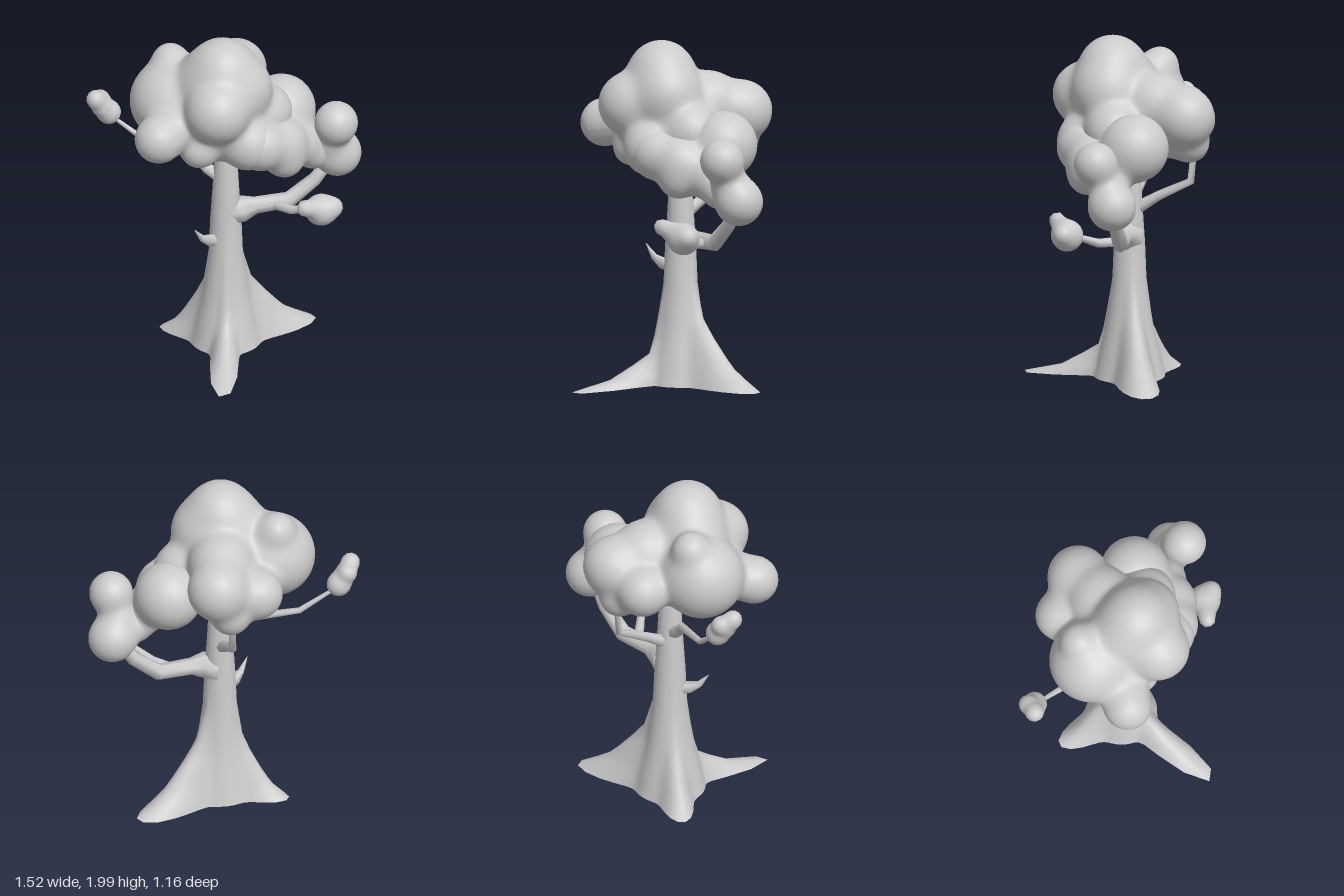
import * as THREE from 'three';
import { mergeVertices } from 'three/addons/utils/BufferGeometryUtils.js';

const material = new THREE.MeshStandardMaterial({ color: 0xcccccc, side: THREE.DoubleSide });

function named(geometry, name) {
  const mesh = new THREE.Mesh(geometry, material);
  mesh.name = name;
  return mesh;
}

// Surface through equal-length rings of Vector3, ordered from bottom to top
function loft(rings) {
  const n = rings[0].length;
  const index = [];
  for (let i = 0; i < rings.length - 1; i++) {
    for (let j = 0; j < n; j++) {
      const a = i * n + j, b = i * n + (j + 1) % n;
      index.push(a, b, b + n, a, b + n, a + n);
    }
  }
  const geometry = new THREE.BufferGeometry().setFromPoints(rings.flat());
  geometry.setIndex(index);
  geometry.computeVertexNormals();
  return geometry;
}

// Leaf mass: a sphere shrunk onto the smooth union of balls [x, y, z, r]
function leafMass(name, centre, balls, blend, detail) {
  const distance = (p) => {
    let sum = 0;
    for (const [x, y, z, r] of balls) {
      sum += Math.exp(-(Math.hypot(p.x - x, p.y - y, p.z - z) - r) / blend);
    }
    return -blend * Math.log(sum);
  };
  let geometry = new THREE.IcosahedronGeometry(1, detail);
  geometry.deleteAttribute('uv');
  geometry.deleteAttribute('normal');
  geometry = mergeVertices(geometry, 1e-4);
  const c = new THREE.Vector3(...centre);
  const pos = geometry.attributes.position;
  const dir = new THREE.Vector3(), p = new THREE.Vector3();
  for (let i = 0; i < pos.count; i++) {
    dir.fromBufferAttribute(pos, i).normalize();
    let t = 1;
    for (let step = 0; step < 80 && t > 0.01; step++) {
      const d = distance(p.copy(c).addScaledVector(dir, t));
      if (d < 0.0005) break;
      t -= d * 0.9;
    }
    p.copy(c).addScaledVector(dir, Math.max(t, 0.01));
    pos.setXYZ(i, p.x, p.y, p.z);
  }
  geometry.computeVertexNormals();
  return named(geometry, name);
}

// Tapered branch through points [x, y, z, radius]
function branch(name, points, sides = 7) {
  const v = points.map(([x, y, z]) => new THREE.Vector3(x, y, z));
  let side = new THREE.Vector3(0.2, 0.1, 1);
  const rings = v.map((p, i) => {
    const along = v[Math.min(i + 1, v.length - 1)].clone().sub(v[Math.max(i - 1, 0)]).normalize();
    side = side.clone().addScaledVector(along, -side.dot(along)).normalize();
    const other = along.clone().cross(side);
    return Array.from({ length: sides }, (_, j) => {
      const a = j / sides * Math.PI * 2;
      return p.clone()
        .addScaledVector(side, Math.cos(a) * points[i][3])
        .addScaledVector(other, Math.sin(a) * points[i][3]);
    });
  });
  rings.push(rings[0].map(() => v[v.length - 1].clone()));
  return named(loft(rings), name);
}

// Trunk flaring into three roots, open underneath
function trunk() {
  const heights = [0.03, 0.09, 0.14, 0.2, 0.3, 0.4, 0.6, 0.8, 1.0, 1.24, 1.32, 1.33];
  const radii = [0.2, 0.185, 0.175, 0.16, 0.138, 0.122, 0.096, 0.088, 0.075, 0.062, 0.045, 0.001];
  const roots = [
    { angle: Math.atan2(0.65, 0.09), width: 0.22, reach: [0.65, 0.42, 0.28, 0.185, 0.155, 0.135] },
    { angle: Math.atan2(-0.36, 0.45), width: 0.34, reach: [0.575, 0.47, 0.39, 0.33, 0.24, 0.16] },
    { angle: Math.atan2(-0.1, -0.39), width: 0.32, reach: [0.405, 0.32, 0.28, 0.24, 0.18, 0.13] },
  ];
  const sides = 60;
  const rings = heights.map((y, i) => Array.from({ length: sides }, (_, j) => {
    const a = -j / sides * Math.PI * 2;
    let r = radii[i], drop = 0;
    roots.forEach((root, k) => {
      if (i >= root.reach.length) return;
      const off = Math.atan2(Math.sin(a - root.angle), Math.cos(a - root.angle));
      const w = Math.exp(-((off / root.width) ** 2));
      r += w * Math.max(root.reach[i] - radii[i], 0);
      if (k === 0 && i < 2) drop = 0.03 * w;
    });
    return new THREE.Vector3(0.02 + r * Math.cos(a), y - drop, -0.06 + r * Math.sin(a));
  }));
  return named(loft(rings), 'trunk');
}

export function createModel() {
  const tree = new THREE.Group();
  tree.name = 'tree';
  tree.add(trunk());

  // Branches
  tree.add(
    branch('leftBranch', [[0.04, 0.85, -0.07, 0.09], [0.12, 0.86, -0.08, 0.075], [0.18, 0.87, -0.11, 0.05],
      [0.36, 0.88, -0.19, 0.048], [0.5, 1.0, -0.24, 0.04], [0.6, 1.14, -0.27, 0.03]]),
    branch('leftSideBranch', [[0.26, 0.87, -0.15, 0.03], [0.4, 0.88, -0.07, 0.026], [0.56, 0.95, 0.02, 0.016]]),
    branch('rightBranch', [[0, 1.06, -0.06, 0.045], [-0.09, 1.11, -0.06, 0.032], [-0.16, 1.18, -0.07, 0.025],
      [-0.43, 1.235, -0.08, 0.018], [-0.64, 1.39, -0.075, 0.01]]),
    branch('backBranch', [[0.02, 0.98, -0.07, 0.04], [-0.03, 1.08, -0.22, 0.028], [-0.06, 1.18, -0.41, 0.023],
      [-0.06, 1.37, -0.43, 0.018]]),
    branch('brokenStub', [[0.01, 0.68, -0.05, 0.04], [-0.06, 0.7, 0.03, 0.036], [-0.095, 0.73, 0.07, 0.02],
      [-0.13, 0.8, 0.11, 0.002]], 5),
  );

  // Leaves
  tree.add(
    leafMass('mainCanopy', [-0.02, 1.54, 0.02], [
      [0.02, 1.8, 0.05, 0.185], [-0.05, 1.71, 0.04, 0.19], [0.1, 1.69, 0.04, 0.195], // crown
      [-0.02, 1.52, 0, 0.265], [-0.28, 1.56, 0, 0.235], [0.01, 1.385, 0.05, 0.13], // body
      [0.02, 1.63, 0.23, 0.178], [-0.3, 1.47, 0.315, 0.135], [-0.22, 1.5, 0.2, 0.12], // front bulges
      [-0.09, 1.36, 0.2, 0.1], [0.18, 1.4, 0.14, 0.155],
      [-0.3, 1.765, -0.08, 0.1], // upper knob
      [0.01, 1.62, -0.22, 0.18], [0.02, 1.57, -0.41, 0.172], // back bulges
      [-0.2, 1.5, -0.33, 0.14], [-0.05, 1.4, -0.41, 0.105], [-0.05, 1.44, -0.28, 0.13],
      [0.23, 1.49, -0.08, 0.165], // shoulder towards the left canopy
    ], 0.025, 28),
    leafMass('leftCanopy', [0.33, 1.36, -0.1], [
      [0.305, 1.43, -0.25, 0.192], [0.24, 1.38, 0.12, 0.145], [0.34, 1.34, 0, 0.145],
      [0.37, 1.25, 0.02, 0.1], [0.42, 1.28, -0.14, 0.125], [0.5, 1.2, -0.2, 0.1],
    ], 0.025, 18),
    leafMass('leftLeafPair', [0.61, 1.28, -0.23], [
      [0.63, 1.4, -0.18, 0.122], [0.62, 1.16, -0.28, 0.135], [0.59, 1.27, -0.23, 0.095],
      [0.5, 1.21, -0.22, 0.09],
    ], 0.022, 16),
    leafMass('lowLeafCluster', [0.57, 0.96, 0.04], [
      [0.58, 0.95, 0.03, 0.09], [0.54, 0.985, 0.09, 0.05], [0.5, 1.01, 0.14, 0.045], [0.65, 0.97, 0.02, 0.05],
    ], 0.015, 5),
    leafMass('farLeafCluster', [-0.68, 1.455, -0.05], [
      [-0.65, 1.41, -0.075, 0.068], [-0.685, 1.46, -0.04, 0.055], [-0.715, 1.52, -0.01, 0.052],
      [-0.7, 1.49, -0.08, 0.05],
    ], 0.013, 5),
  );
  return tree;
}
